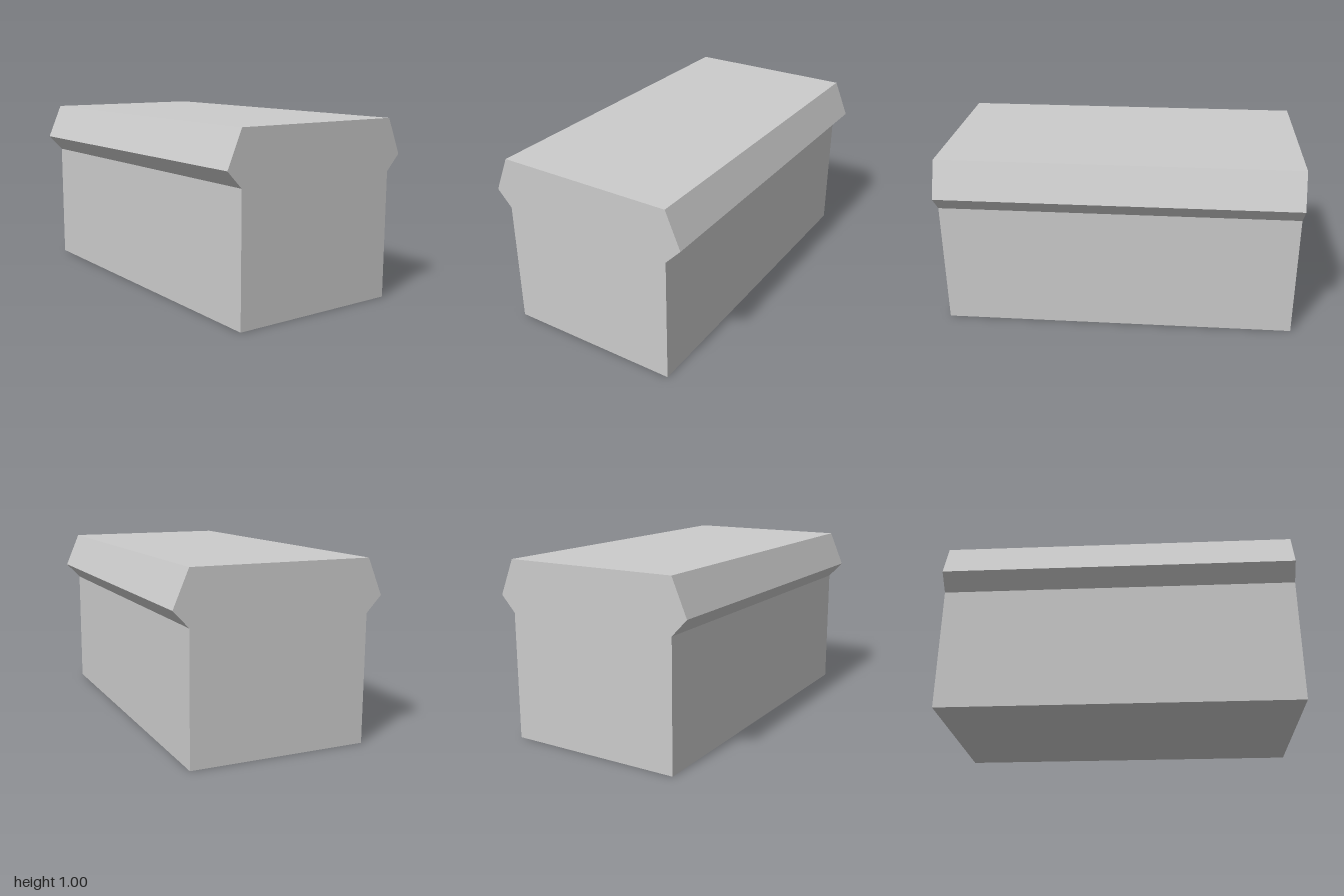
import * as THREE from 'three';

export function createModel() {
  const group = new THREE.Group();
  group.name = 'ledgeBlock';

  // Half outline from bottom to top, mirrored to close the cross-section
  const half = [[0.5, 0], [0.5, 0.71], [0.585, 0.8], [0.5, 1]];
  const outline = [...half, ...half.map(([x, y]) => [-x, y]).reverse()];
  const shape = new THREE.Shape(outline.map(([x, y]) => new THREE.Vector2(x, y)));

  // Straight block with a bevelled ledge along both upper sides
  const length = 2;
  const geometry = new THREE.ExtrudeGeometry(shape, { depth: length, bevelEnabled: false });
  geometry.translate(0, 0, -length / 2);

  const block = new THREE.Mesh(
    geometry,
    new THREE.MeshStandardMaterial({ color: 0xcccccc, flatShading: true })
  );
  block.name = 'blockWithLedges';
  group.add(block);
  return group;
}
